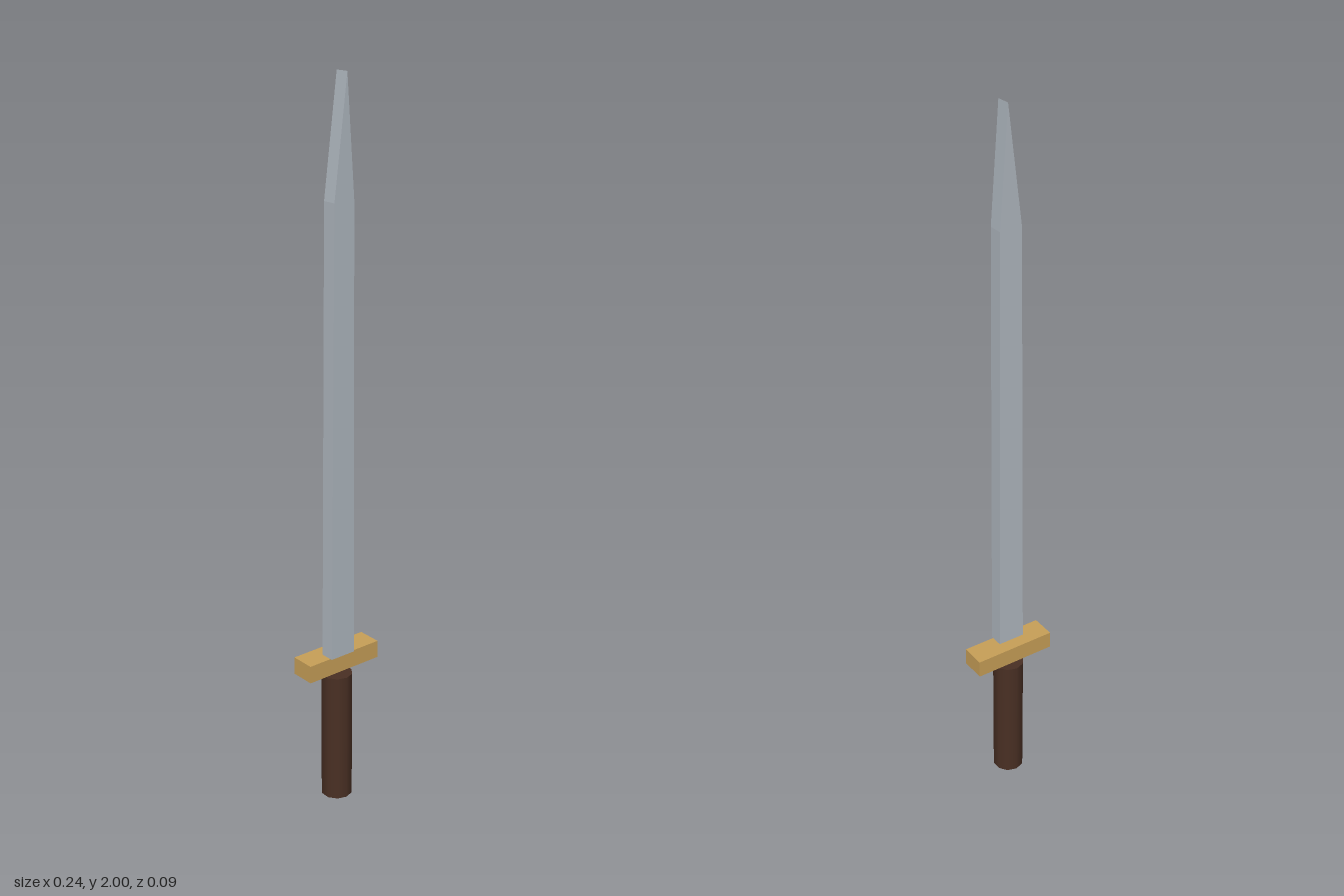
import * as THREE from 'three';

function part(name, geometry, color, y = 0, z = 0) {
  const mesh = new THREE.Mesh(geometry, new THREE.MeshStandardMaterial({ color }));
  mesh.name = name;
  mesh.position.set(0, y, z);
  return mesh;
}

export function createModel() {
  const sword = new THREE.Group();
  sword.name = 'sword';

  // Grip: ten-sided, smooth-shaded, stopping just short of the guard
  sword.add(part('grip', new THREE.CylinderGeometry(0.044, 0.044, 0.38, 10), 0x4a3024, 0.19));

  // Crossguard: plain bar
  sword.add(part('crossguard', new THREE.BoxGeometry(0.238, 0.05, 0.07), 0xc8a058, 0.425, -0.001));

  // Blade: flat slab with an uneven, slightly tapering outline
  const outline = new THREE.Shape([
    [-0.05, 0.45], [0.028, 0.45], [0.023, 1.69], [0, 2], [-0.04, 1.69],
  ].map(([x, y]) => new THREE.Vector2(x, y)));
  const blade = new THREE.ExtrudeGeometry(outline, { depth: 0.04, bevelEnabled: false });
  sword.add(part('blade', blade, 0xb0b8c0));

  return sword;
}
